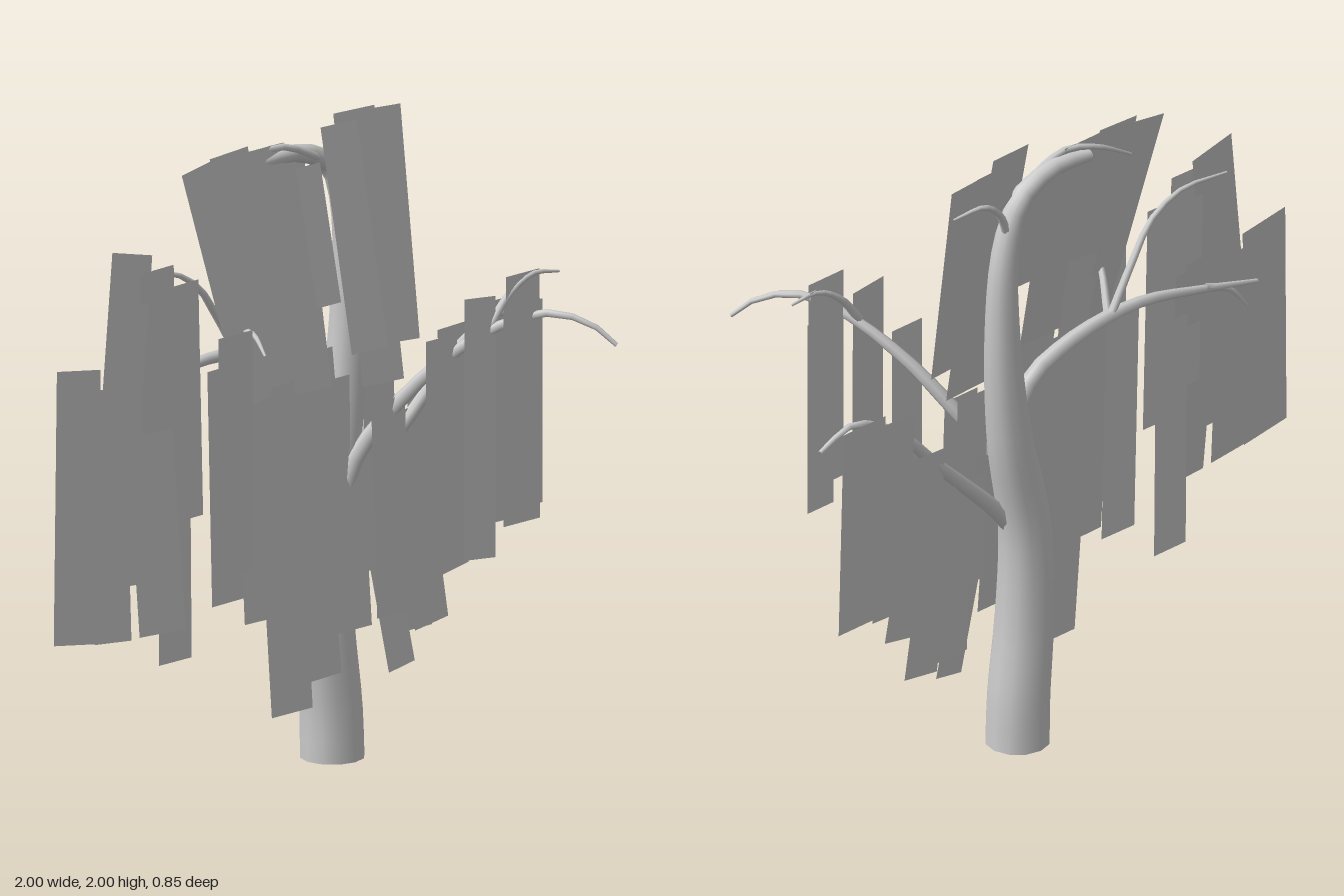
import * as THREE from 'three';

const bark = new THREE.MeshStandardMaterial({ color: 0xcccccc });
bark.name = 'bark grey';
const foliage = new THREE.MeshStandardMaterial({ color: 0xcccccc, side: THREE.DoubleSide });
foliage.name = 'foliage grey';

// Tapered limb: a tube whose rings shrink toward the tip
function limb(name, points, r0, r1, segments, sides) {
  const curve = new THREE.CatmullRomCurve3(points.map((p) => new THREE.Vector3(...p)));
  const geo = new THREE.TubeGeometry(curve, segments, 1, sides);
  const pos = geo.attributes.position;
  const v = new THREE.Vector3();
  for (let i = 0; i < pos.count; i++) {
    const t = Math.floor(i / (sides + 1)) / segments;
    const c = curve.getPointAt(t);
    v.fromBufferAttribute(pos, i).sub(c).multiplyScalar(THREE.MathUtils.lerp(r0, r1, t ** 1.4)).add(c);
    if (name === 'trunk' && t === 0) v.y = 0;
    pos.setXYZ(i, v.x, v.y, v.z);
  }
  geo.computeBoundingSphere();
  const mesh = new THREE.Mesh(geo, bark);
  mesh.name = name;
  return mesh;
}

// Hanging leaf sheets: rows of [top centre x, top y, width, length, lean in degrees]
// z is the depth of the top edge, slope the forward drift per unit of drop
function curtain(name, z, slope, rows) {
  const group = new THREE.Group();
  group.name = name;
  rows.forEach(([x, y, w, len, lean], i) => {
    const geo = new THREE.PlaneGeometry(w, len);
    geo.translate(0, -len / 2, 0);
    geo.rotateZ(THREE.MathUtils.degToRad(lean));
    const pos = geo.attributes.position;
    for (let k = 0; k < pos.count; k++) pos.setZ(k, -pos.getY(k) * slope);
    geo.translate(x, y, z + (i % 3) * 0.008);
    geo.computeVertexNormals();
    const mesh = new THREE.Mesh(geo, foliage);
    mesh.name = 'leafSheet';
    group.add(mesh);
  });
  return group;
}

export function createModel() {
  const tree = new THREE.Group();
  tree.name = 'willowTree';

  // Trunk, arching over at the top
  tree.add(limb('trunk', [
    [0.235, 0, -0.32], [0.23, 0.15, -0.32], [0.205, 0.42, -0.32], [0.21, 0.72, -0.325],
    [0.28, 1.05, -0.33], [0.315, 1.4, -0.335], [0.305, 1.7, -0.34], [0.25, 1.85, -0.345],
    [0.12, 1.91, -0.35], [-0.03, 1.905, -0.36],
  ], 0.1, 0.02, 32, 12));
  const base = new THREE.Mesh(new THREE.CircleGeometry(0.1, 12), bark);
  base.name = 'trunkBase';
  base.rotation.x = Math.PI / 2;
  base.position.set(0.235, 0, -0.32);
  tree.add(base);

  // Boughs
  const boughs = {
    frontBranch: [[0.22, 0.71, -0.3], [0.27, 0.95, -0.25], [0.36, 1.13, -0.15], [0.44, 1.28, -0.02],
      [0.53, 1.4, 0.14], [0.6, 1.44, 0.26], [0.67, 1.41, 0.36], [0.715, 1.35, 0.42]],
    rightBranch: [[0.29, 1.1, -0.34], [0.2, 1.23, -0.345], [0.1, 1.28, -0.35], [-0.05, 1.32, -0.36],
      [-0.25, 1.33, -0.37], [-0.48, 1.29, -0.385], [-0.71, 1.24, -0.4]],
    leftBranch: [[0.23, 0.7, -0.31], [0.33, 0.82, -0.31], [0.45, 0.94, -0.3], [0.55, 1.04, -0.285],
      [0.67, 1.17, -0.27], [0.78, 1.25, -0.26], [0.88, 1.28, -0.25], [1, 1.23, -0.24]],
  };
  for (const [name, pts] of Object.entries(boughs)) tree.add(limb(name, pts, 0.028, 0.007, 16, 7));

  // Thin twigs
  [
    [[-0.12, 1.33, -0.365], [-0.22, 1.48, -0.36], [-0.3, 1.58, -0.355], [-0.42, 1.64, -0.36], [-0.61, 1.635, -0.37]],
    [[-0.12, 1.33, -0.35], [-0.19, 1.43, -0.25], [-0.22, 1.44, -0.18], [-0.28, 1.41, -0.07]],
    [[0.5, 1.38, 0.09], [0.57, 1.47, 0.1], [0.66, 1.52, 0.11], [0.76, 1.51, 0.12]],
    [[0.3, 1.74, -0.345], [0.36, 1.85, -0.365], [0.43, 1.9, -0.37], [0.54, 1.89, -0.35]],
    [[0.22, 1.87, -0.34], [0.16, 1.9, -0.325], [0.05, 1.945, -0.34], [-0.05, 1.93, -0.37], [-0.2, 1.85, -0.37]],
    [[-0.5, 1.29, -0.385], [-0.6, 1.25, -0.39], [-0.67, 1.17, -0.4]],
  ].forEach((pts) => tree.add(limb('twig', pts, 0.014, 0.004, 10, 6)));

  // Leaf curtains
  tree.add(
    curtain('rightCurtain', -0.36, 0.15, [
      [-0.78, 1.405, 0.18, 0.82, -9], [-0.565, 1.73, 0.165, 0.82, -13.6], [-0.68, 1.33, 0.15, 0.76, -6],
      [-0.55, 1.38, 0.2, 0.66, -4], [-0.51, 1.35, 0.19, 0.79, -3],
    ]),
    curtain('rightInnerCurtain', -0.345, 0.01, [
      [-0.4, 1.2, 0.135, 0.78, 0], [-0.37, 1.6, 0.13, 0.74, 1], [-0.485, 1.67, 0.14, 0.73, 1],
      [-0.19, 1.3, 0.14, 0.74, 1],
    ]),
    curtain('crownCurtain', -0.365, 0.195, [
      [-0.285, 1.94, 0.13, 0.74, 9], [-0.16, 1.965, 0.16, 0.72, 3], [-0.02, 1.955, 0.16, 0.7, 0],
      [0.08, 1.92, 0.15, 0.72, -1], [0.36, 1.997, 0.17, 0.82, -2], [0.475, 1.985, 0.14, 0.7, -4],
    ]),
    curtain('crownFrontCurtain', -0.305, 0.22, [[0.12, 1.88, 0.1, 0.42, 0], [0.24, 1.99, 0.15, 0.68, -1]]),
    curtain('middleCurtain', -0.285, 0.08, [
      [-0.12, 1.27, 0.17, 0.75, -1], [-0.03, 0.98, 0.17, 0.77, 0], [-0.1, 1.5, 0.13, 0.78, 6],
      [0.09, 1.07, 0.13, 0.78, 2], [0.12, 1.3, 0.15, 0.72, 2], [0.01, 1.27, 0.14, 0.7, 1],
      [0.32, 0.99, 0.11, 0.74, 9], [0.21, 1.2, 0.18, 0.78, 0],
    ]),
    curtain('trunkSheet', -0.155, 0.04, [[0.31, 1.14, 0.14, 0.67, 0]]),
    curtain('leftCurtain', -0.305, 0.03, [
      [0.875, 1.3, 0.18, 0.69, 0], [0.72, 1.26, 0.14, 0.67, 2], [0.5, 1.04, 0.2, 0.69, 0],
      [0.53, 0.96, 0.14, 0.62, 8], [0.61, 0.99, 0.14, 0.5, 10], [0.395, 1.22, 0.13, 0.65, 0],
      [0.6, 1.1, 0.14, 0.57, 2],
    ]),
    curtain('sideSheet', -0.18, 0, [[-0.3, 1.46, 0.14, 0.75, 0]]),
    curtain('innerSheet', 0, 0, [[0.385, 1.35, 0.13, 0.7, 0]]),
    curtain('twigSheets', 0.1, 0, [[0.655, 1.43, 0.11, 0.64, 0], [0.62, 1.53, 0.14, 0.67, 0]]),
    curtain('slantedSheet', 0.09, 0.11, [[0.46, 1.48, 0.13, 0.79, -6]]),
    curtain('frontSheet', 0.215, 0, [[0.515, 1.48, 0.15, 0.69, 0]]),
  );
  return tree;
}
